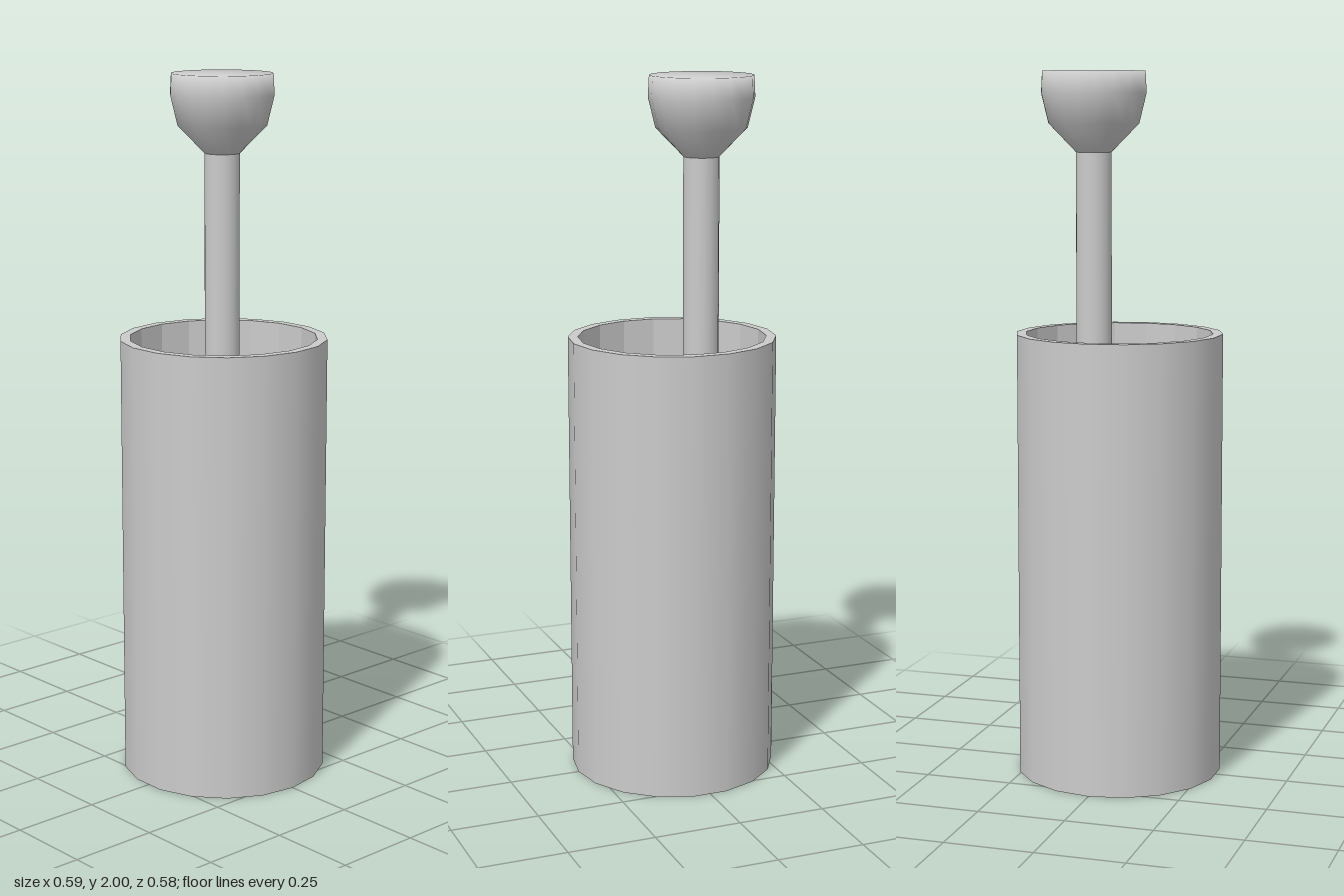
import * as THREE from 'three';

const SIDES = 18;
const smooth = new THREE.MeshStandardMaterial({ color: 0xcccccc });
const faceted = new THREE.MeshStandardMaterial({ color: 0xcccccc, flatShading: true });

// Revolves a profile of [radius, height] pairs, with a corner on the x axis
function turned(name, profile, material) {
  const points = profile.map(([r, y]) => new THREE.Vector2(r, y));
  const mesh = new THREE.Mesh(new THREE.LatheGeometry(points, SIDES, Math.PI / 2), material);
  mesh.name = name;
  return mesh;
}

export function createModel() {
  const model = new THREE.Group();
  model.name = 'containerWithRod';

  // Hollow container: smooth outside, faceted rim and inside
  const R = 0.294, r = 0.266, top = 1.27, floor = 0.03;
  const container = new THREE.Group();
  container.name = 'container';
  container.add(
    turned('outerWall', [[R, 0], [R, top]], smooth),
    turned('base', [[0, 0], [R, 0]], faceted),
    turned('rimAndInside', [[R, top], [r, top], [r, floor], [0, floor]], faceted),
  );

  // Off-centre rod standing on the container floor, with a flat-topped knob
  const handle = new THREE.Group();
  handle.name = 'handle';
  handle.position.set(-0.065, 0, -0.054);
  handle.add(
    turned('rod', [[0.05, floor], [0.05, 1.79]], smooth),
    turned('knob', [[0.05, 1.778], [0.127, 1.857], [0.147, 1.94], [0.144, 2], [0, 2]], smooth),
  );

  model.add(container, handle);
  return model;
}
